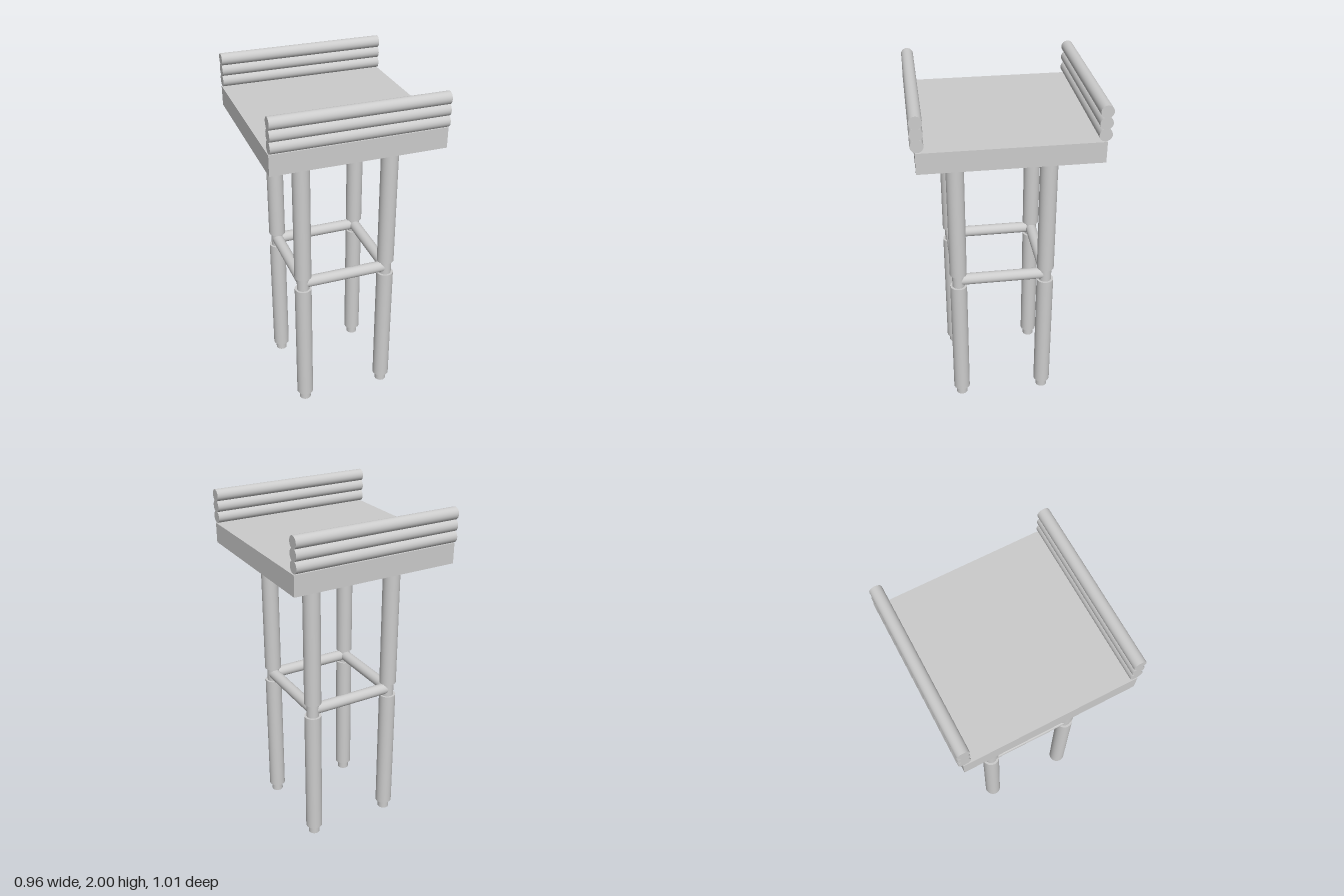
import * as THREE from 'three';

const LEG_X = 0.254;
const LEG_Z = 0.254;
const LEG_SHIFT = 0.019; // the leg frame sits slightly forward under the seat
const RUNG_Y = 0.869;

export function createModel() {
  const model = new THREE.Group();
  const material = new THREE.MeshStandardMaterial({ color: 0xcccccc });

  const add = (parent, name, geometry, x, y, z) => {
    const mesh = new THREE.Mesh(geometry, material);
    mesh.name = name;
    mesh.position.set(x, y, z);
    parent.add(mesh);
    return mesh;
  };
  const rod = (radius, length) => new THREE.CylinderGeometry(radius, radius, length, 32);

  // Thick square seat
  add(model, 'seat', new THREE.BoxGeometry(0.962, 0.115, 0.962), 0, 1.7475, 0);

  // Three stacked round rails along the front and back edges
  for (const [side, name] of [[1, 'frontRail'], [-1, 'backRail']]) {
    for (let i = 0; i < 3; i++) {
      add(model, name, rod(0.034, 0.956), 0, 1.842 + i * 0.062, side * 0.47).rotation.z = Math.PI / 2;
    }
  }

  const frame = new THREE.Group();
  frame.name = 'legFrame';
  frame.position.z = LEG_SHIFT;
  model.add(frame);

  // Legs: foot, lower post, narrow neck, upper post as [name, radius, bottom, top]
  const sections = [
    ['foot', 0.034, 0, 0.05],
    ['lowerPost', 0.049, 0.05, 0.828],
    ['neck', 0.036, 0.828, 0.91],
    ['upperPost', 0.049, 0.91, 1.69],
  ];
  for (const sx of [-1, 1]) {
    for (const sz of [-1, 1]) {
      const leg = new THREE.Group();
      leg.name = (sz > 0 ? 'front' : 'back') + (sx > 0 ? 'Left' : 'Right') + 'Leg';
      leg.position.set(sx * LEG_X, 0, sz * LEG_Z);
      for (const [name, radius, bottom, top] of sections) {
        add(leg, name, rod(radius, top - bottom), 0, (bottom + top) / 2, 0);
      }
      frame.add(leg);
    }
  }

  // Rungs joining the necks in a square
  for (const s of [-1, 1]) {
    add(frame, 'crossRung', rod(0.033, LEG_X * 2), 0, RUNG_Y, s * LEG_Z).rotation.z = Math.PI / 2;
    add(frame, 'sideRung', rod(0.033, LEG_Z * 2), s * LEG_X, RUNG_Y, 0).rotation.x = Math.PI / 2;
  }

  return model;
}
